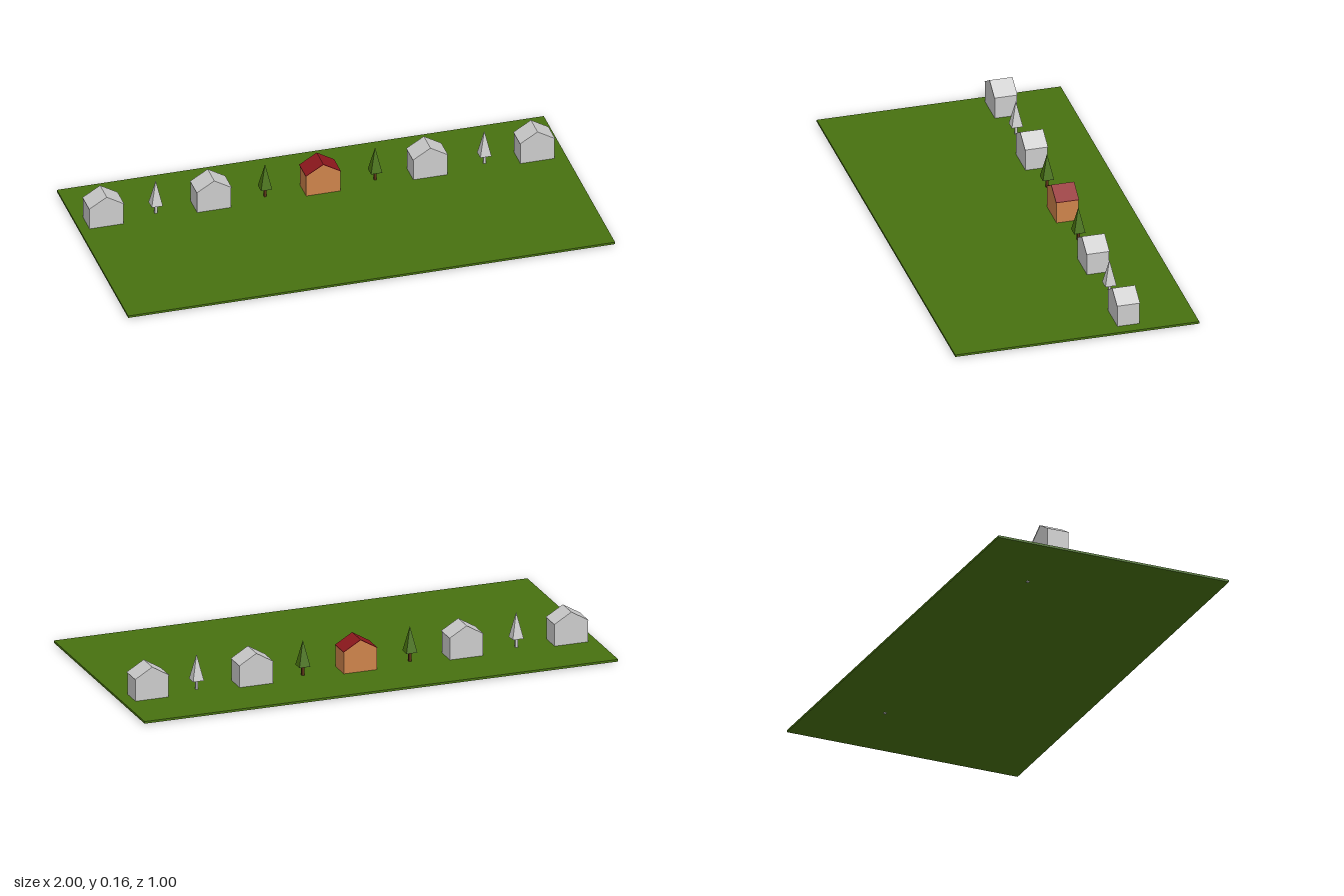
import * as THREE from 'three';

const mat = (color) => new THREE.MeshStandardMaterial({ color, flatShading: true });
const GREY = mat(0xcccccc);
const GREEN = mat(0x477110);
const WALL = mat(0xcd834b);
const ROOF = mat(0x8e181d);
const BARK = mat(0x5c3317);

const ROW_Z = -0.224;
const GROUND_TOP = 0.013;
const HALF_W = 0.07;
const EAVE = 0.104;
const RIDGE = 0.146;

function add(parent, name, geometry, material) {
  const mesh = new THREE.Mesh(geometry, material);
  mesh.name = name;
  parent.add(mesh);
  return mesh;
}

// Extrudes an outline along z, centred on z = 0
function prism(points, depth) {
  const shape = new THREE.Shape(points.map(([x, y]) => new THREE.Vector2(x, y)));
  const geometry = new THREE.ExtrudeGeometry(shape, { depth, bevelEnabled: false });
  return geometry.translate(0, 0, -depth / 2);
}

// Gabled body with a thin folded roof that overhangs slightly
function makeHouse(x, wallMaterial, roofMaterial) {
  const house = new THREE.Group();
  house.name = 'house';
  add(house, 'walls', prism([
    [-HALF_W, GROUND_TOP - 0.003], [HALF_W, GROUND_TOP - 0.003],
    [HALF_W, EAVE], [0, RIDGE], [-HALF_W, EAVE],
  ], 0.09), wallMaterial);
  const w = HALF_W + 0.002;
  add(house, 'roof', prism([
    [-w, EAVE - 0.001], [0, RIDGE - 0.001], [w, EAVE - 0.001],
    [w, EAVE + 0.001], [0, RIDGE + 0.002], [-w, EAVE + 0.001],
  ], 0.094), roofMaterial);
  house.position.set(x, 0, ROW_Z);
  return house;
}

// Square pyramid crown, slightly tucked in underneath, on a square trunk
function makeTree(x, crownMaterial, trunkMaterial, base) {
  const tree = new THREE.Group();
  tree.name = 'tree';
  const side = Math.SQRT2;
  const crown = add(tree, 'crown', new THREE.ConeGeometry(0.023 * side, 0.107, 4), crownMaterial);
  crown.rotation.y = Math.PI / 4;
  crown.position.y = 0.1065;
  const top = 0.056;
  const trunk = add(tree, 'trunk', new THREE.BoxGeometry(0.01, top - base, 0.01), trunkMaterial);
  trunk.position.y = (top + base) / 2;
  tree.position.set(x, 0, ROW_Z);
  return tree;
}

export function createModel() {
  const model = new THREE.Group();
  model.name = 'streetOfHouses';

  // Lawn slab
  const ground = add(model, 'ground', new THREE.BoxGeometry(2, 0.009, 1), GREEN);
  ground.position.y = GROUND_TOP - 0.0045;

  // Row of houses, the middle one painted
  for (const x of [-0.89, -0.448, 0, 0.44, 0.88]) {
    model.add(x === 0 ? makeHouse(x, WALL, ROOF) : makeHouse(x, GREY, GREY));
  }

  // Trees between the houses
  for (const s of [-1, 1]) {
    model.add(makeTree(s * 0.226, GREEN, BARK, 0.005));
    model.add(makeTree(s * 0.675, GREY, GREY, 0));
  }
  return model;
}
